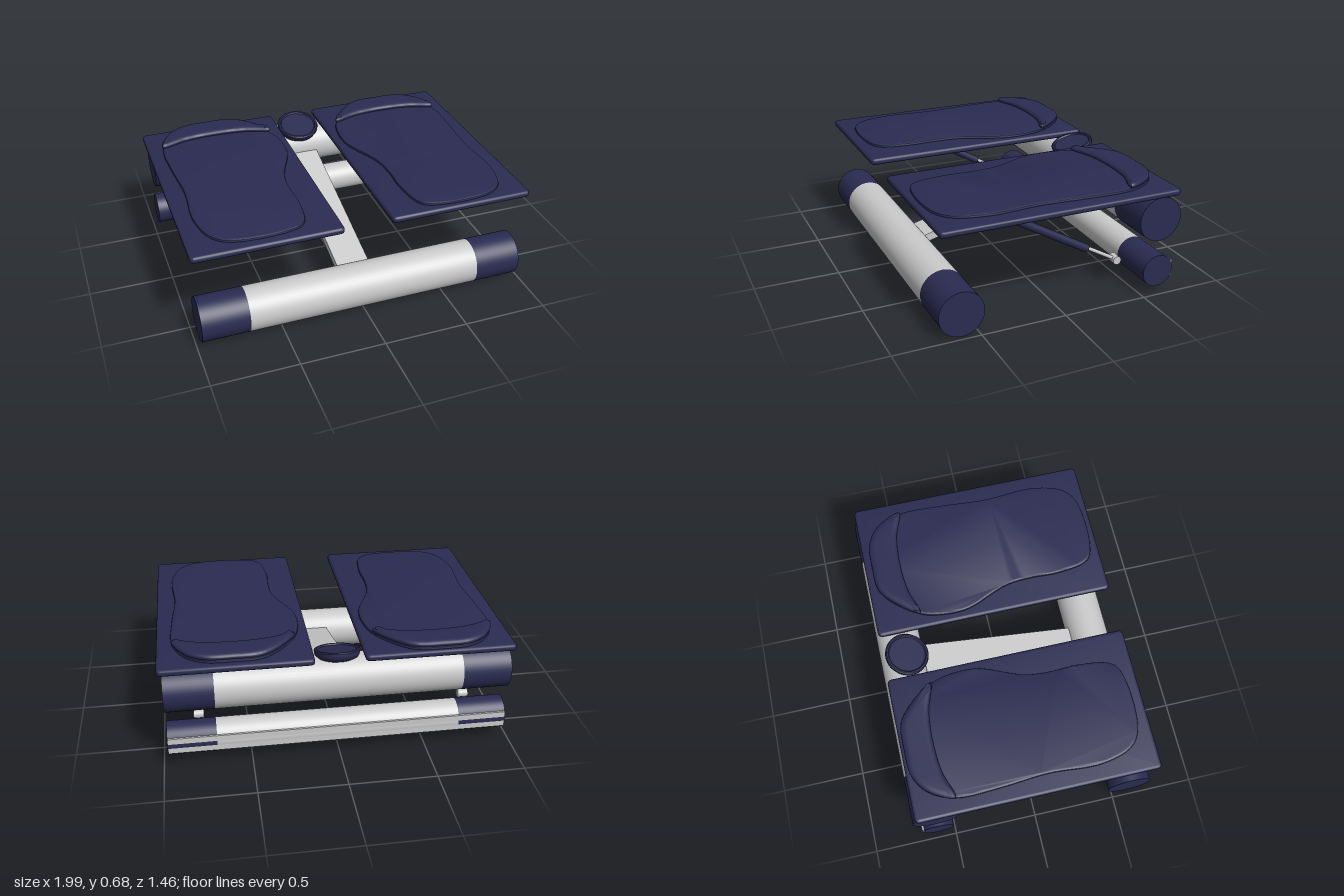
import * as THREE from 'three';
import { toCreasedNormals } from 'three/addons/utils/BufferGeometryUtils.js';

const grey = new THREE.MeshStandardMaterial({ color: 0xcccccc });
const navy = new THREE.MeshStandardMaterial({ color: 0x2b2b52 });

function add(parent, name, geometry, material, x = 0, y = 0, z = 0) {
  const mesh = new THREE.Mesh(geometry, material);
  mesh.name = name;
  mesh.position.set(x, y, z);
  parent.add(mesh);
  return mesh;
}

// Cylinder lying along x
function barX(radius, length, open = false) {
  return new THREE.CylinderGeometry(radius, radius, length, 48, 1, open).rotateZ(Math.PI / 2);
}

// Grey cross tube with a navy sleeve on each end
function crossTube(parent, name, radius, y, z) {
  const tube = new THREE.Group();
  tube.name = name;
  tube.position.set(0, y, z);
  add(tube, 'tubeMiddle', barX(radius, 1.39, true), grey);
  for (const s of [-1, 1]) add(tube, 'endSleeve', barX(radius, 0.277), navy, s * 0.8335);
  parent.add(tube);
  return tube;
}

// Cylinder between two points in a plane of constant x
function rod(parent, name, radius, material, x, [z1, y1], [z2, y2]) {
  const a = new THREE.Vector3(x, y1, z1), b = new THREE.Vector3(x, y2, z2);
  const dir = b.clone().sub(a);
  const mesh = add(parent, name, new THREE.CylinderGeometry(radius, radius, dir.length(), 20), material);
  mesh.position.copy(a).add(b).multiplyScalar(0.5);
  mesh.quaternion.setFromUnitVectors(new THREE.Vector3(0, 1, 0), dir.normalize());
}

// Flat slab between two heights from an outline in (x, -z), with a bevelled edge
function slab(shape, bottom, top, bevel, inset, segments = 3) {
  const geometry = new THREE.ExtrudeGeometry(shape, {
    depth: top - bottom - 2 * bevel, bevelThickness: bevel, bevelSize: inset,
    bevelOffset: -inset, bevelSegments: segments, curveSegments: 8,
  });
  geometry.rotateX(-Math.PI / 2).translate(0, bottom + bevel, 0);
  return toCreasedNormals(geometry, 0.6);
}

function roundedRect(x0, x1, y0, y1, r) {
  const s = new THREE.Shape();
  s.absarc(x1 - r, y1 - r, r, 0, Math.PI / 2);
  s.absarc(x0 + r, y1 - r, r, Math.PI / 2, Math.PI);
  s.absarc(x0 + r, y0 + r, r, Math.PI, Math.PI * 1.5);
  s.absarc(x1 - r, y0 + r, r, Math.PI * 1.5, Math.PI * 2);
  return s;
}

// Smooth closed outline through (x, z) points, mirrored by side
function outline(points, side, dz) {
  const curve = new THREE.CatmullRomCurve3(
    points.map(([x, z]) => new THREE.Vector3(side * x, -(z + dz), 0)), true, 'centripetal');
  return new THREE.Shape(curve.getPoints(90).slice(0, -1).map(p => new THREE.Vector2(p.x, p.y)));
}

const soleFront = [
  [0.19, -0.32], [0.19, -0.15], [0.29, 0.11], [0.305, 0.27], [0.3, 0.43], [0.34, 0.63],
  [0.43, 0.675], [0.75, 0.67], [0.85, 0.6], [0.905, 0.41], [0.89, 0.11], [0.91, -0.18],
];
const soleBack = [
  [0.91, -0.43], [0.84, -0.58], [0.73, -0.65], [0.58, -0.66], [0.43, -0.65], [0.33, -0.58], [0.22, -0.43],
];
const heelFront = [[0.38, -0.475], [0.56, -0.49], [0.75, -0.475]];

function pedal(side) {
  const group = new THREE.Group();
  group.name = side > 0 ? 'leftPedal' : 'rightPedal';
  const dz = side > 0 ? 0 : -0.025;
  const [x0, x1] = side > 0 ? [0.14, 0.997] : [-0.997, -0.14];
  add(group, 'pedalPlate', slab(roundedRect(x0, x1, -0.72, 0.705, 0.025), 0.59, 0.628, 0.013, 0.015), navy);
  add(group, 'footPad', slab(outline([...soleFront, ...soleBack], side, dz), 0.62, 0.645, 0.01, 0.015), navy);
  add(group, 'heelRest', slab(outline([...soleBack, ...heelFront], side, dz), 0.635, 0.675, 0.019, 0.035, 5), navy);
  return group;
}

function damper(side) {
  const group = new THREE.Group();
  group.name = side > 0 ? 'leftDamper' : 'rightDamper';
  const x = side * 0.79, top = [0.255, 0.55], bottom = [-0.425, 0.165];
  add(group, 'upperPivot', barX(0.042, 0.05), grey, x, top[1], top[0]);
  add(group, 'lowerPivot', barX(0.025, 0.06), grey, x, bottom[1], bottom[0]);
  rod(group, 'damperBody', 0.024, navy, x, [0.215, 0.525], [-0.235, 0.268]);
  rod(group, 'pistonRod', 0.011, grey, x, top, bottom);
  return group;
}

export function createModel() {
  const model = new THREE.Group();
  model.name = 'stepper';

  // Frame
  crossTube(model, 'frontFoot', 0.131, 0.131, 0.6);
  crossTube(model, 'upperRearTube', 0.131, 0.455, -0.596);
  const lower = crossTube(model, 'lowerRearTube', 0.095, 0.135, -0.6);
  add(lower, 'rearStrip', new THREE.BoxGeometry(1.94, 0.095, 0.02), grey, 0, 0, -0.084);

  // Sloping centre beam joining the front foot and the upper rear tube
  const beam = add(model, 'centreBeam', new THREE.BoxGeometry(0.196, 0.048, 1.12), grey, 0, 0.296, 0.002);
  beam.rotation.x = Math.atan2(0.324, 1.196);

  // Tilted round display with a raised rim
  const profile = [[0, 0], [0.095, 0], [0.118, 0.012], [0.129, 0.035], [0.13, 0.052],
    [0.124, 0.058], [0.114, 0.058], [0.108, 0.05], [0, 0.05]];
  const display = add(model, 'display', toCreasedNormals(
    new THREE.LatheGeometry(profile.map(p => new THREE.Vector2(...p)), 48).translate(0, -0.029, 0), 0.7),
    navy, 0, 0.583, -0.565);
  display.rotation.x = 0.27;

  for (const side of [-1, 1]) model.add(pedal(side), damper(side));
  return model;
}
